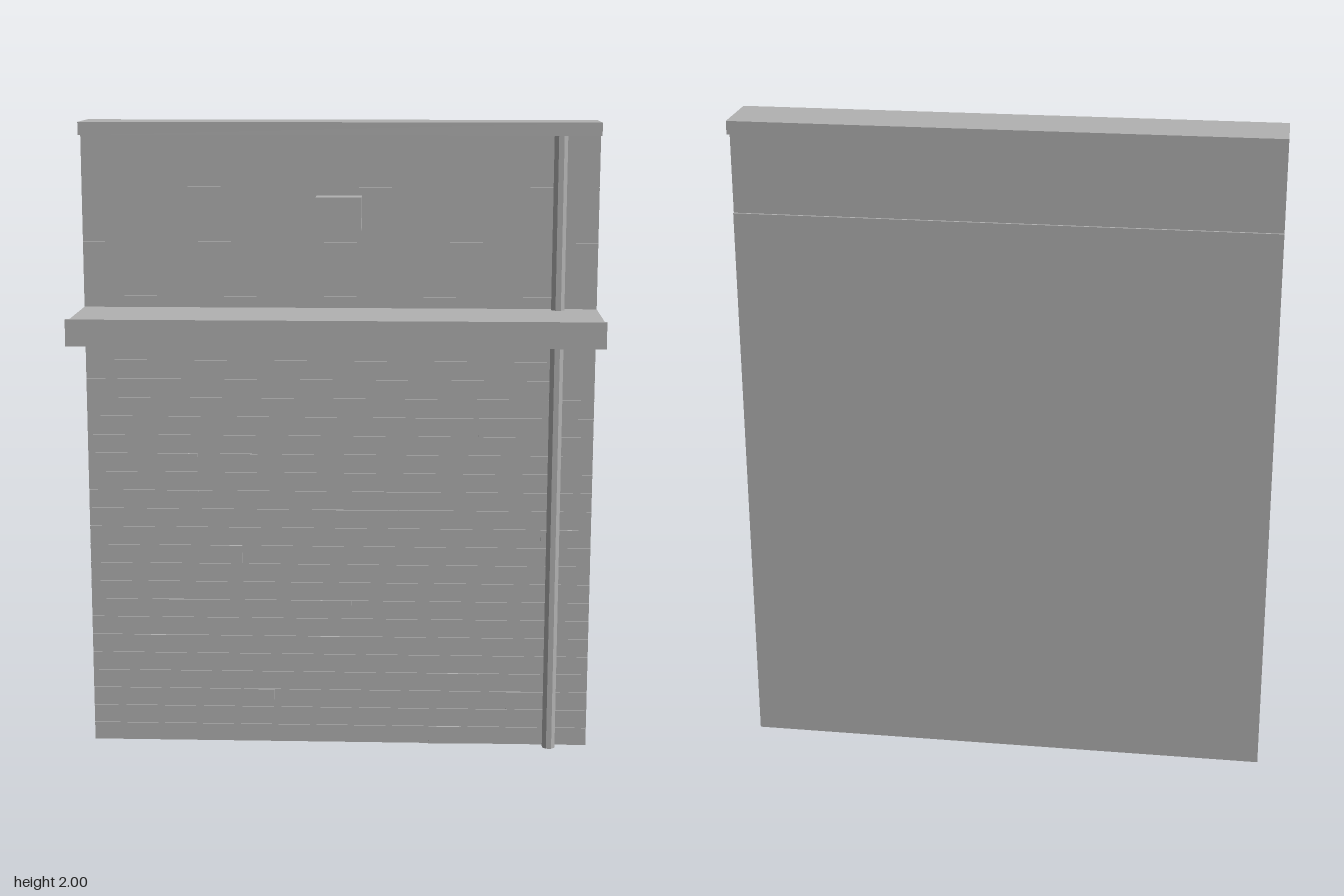
import * as THREE from 'three';

export function createModel() {
  const root = new THREE.Group();
  const grey = new THREE.MeshStandardMaterial({ color: 0xb2b2b2 });
  grey.name = 'plain grey';

  // Box given by its min and max on each axis
  function box(name, [x0, x1], [y0, y1], [z0, z1], parent = root) {
    const m = new THREE.Mesh(new THREE.BoxGeometry(x1 - x0, y1 - y0, z1 - z0), grey);
    m.position.set((x0 + x1) / 2, (y0 + y1) / 2, (z0 + z1) / 2);
    m.name = name;
    parent.add(m);
    return m;
  }
  function group(name) {
    const g = new THREE.Group();
    g.name = name;
    root.add(g);
    return g;
  }
  const W = [-0.8, 0.8];

  // Wall core: solid below, thinner behind the cavity above, thin slab on the back
  box('lowerWall', W, [0, 1.45], [-0.223, -0.113]);
  box('upperWall', W, [1.45, 1.96], [-0.223, -0.138]);
  box('backSlab', W, [0, 1.72], [-0.23, -0.223]);

  // Coping along the top
  box('coping', W, [1.96, 2], [-0.255, -0.06]);

  // Brick courses separated by fine joints
  const bricks = group('brickFacing');
  const row = 0.06;
  for (let i = 0; i < 23; i++) {
    box('brickCourse', W, [i * row, (i + 1) * row - 0.003], [-0.113, -0.109], bricks);
  }
  // Slightly proud bricks: [right end x, course number]
  const proud = [
    [-0.45, 15], [-0.26, 15], [-0.45, 13], [0.34, 17], [0.54, 17], [0.09, 12],
    [0.25, 13], [0.29, 12], [-0.31, 10], [-0.45, 7], [-0.51, 5], [0.04, 7],
    [0.04, 5], [-0.21, 2], [0.45, 3], [0.39, 0], [0.74, 13], [0.74, 11],
    [-0.6, 19], [0.15, 20], [0.64, 2],
  ];
  for (const [x, i] of proud) {
    box('proudBrick', [x - 0.1, x], [i * row, (i + 1) * row - 0.003], [-0.113, -0.105], bricks);
  }

  // Cladding boards in front of the cavity
  const cladding = group('upperCladding');
  box('claddingBacking', W, [1.45, 1.96], [-0.128, -0.113], cladding);
  const seams = [1.38, 1.463, 1.633, 1.803, 1.963];
  for (let i = 0; i < 4; i++) {
    box('claddingBoard', W, [seams[i], seams[i + 1] - 0.003], [-0.113, -0.109], cladding);
  }

  // Canopy with an upright front lip
  const canopy = group('canopy');
  box('canopySlab', W, [1.38, 1.425], [-0.113, 0.24], canopy);
  box('canopyLip', W, [1.355, 1.435], [0.24, 0.255], canopy);

  // Wall lamp housing
  box('wallLamp', [-0.07, 0.07], [1.675, 1.775], [-0.113, -0.026]);

  // Eight-sided downpipe
  const pipeGeo = new THREE.CylinderGeometry(0.0217, 0.0217, 1.96, 8).rotateY(Math.PI / 8).toNonIndexed();
  pipeGeo.computeVertexNormals();
  const pipe = new THREE.Mesh(pipeGeo, grey);
  pipe.position.set(0.678, 0.98, -0.089);
  pipe.name = 'downpipe';
  root.add(pipe);

  return root;
}
